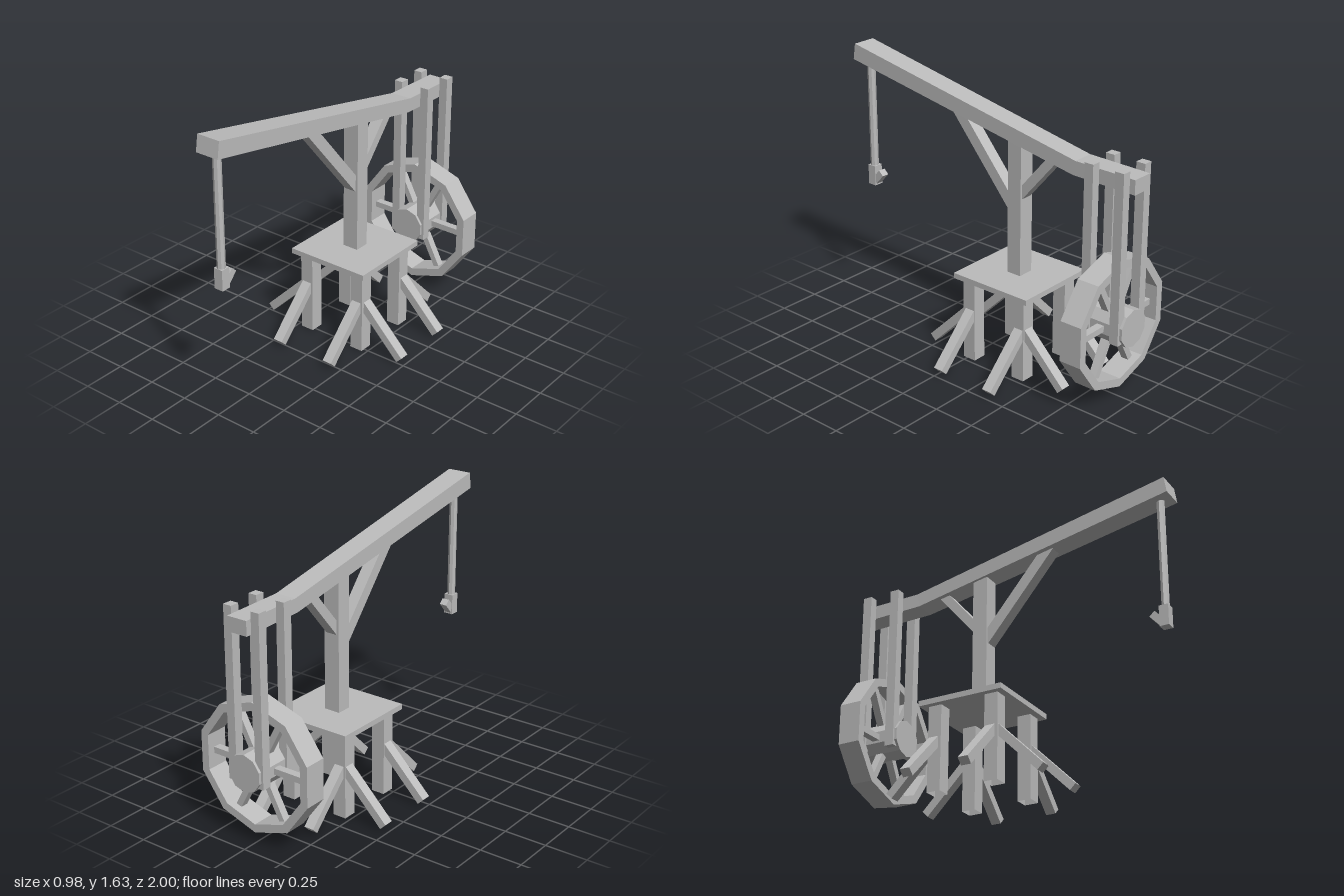
import * as THREE from 'three';

export function createModel() {
  const model = new THREE.Group();
  model.name = 'treadwheelCrane';
  // Double-sided because the legs are hollow and open below
  const grey = new THREE.MeshStandardMaterial({ color: 0xbcbcbc, side: THREE.DoubleSide });
  grey.name = 'plain grey';

  const add = (name, geometry, parent = model) => {
    const flat = geometry.index ? geometry.toNonIndexed() : geometry;
    flat.computeVertexNormals();
    const mesh = new THREE.Mesh(flat, grey);
    mesh.name = name;
    parent.add(mesh);
    return mesh;
  };

  // Axis-aligned box given by its limits
  const block = (name, x0, x1, y0, y1, z0, z1) =>
    add(name, new THREE.BoxGeometry(x1 - x0, y1 - y0, z1 - z0))
      .position.set((x0 + x1) / 2, (y0 + y1) / 2, (z0 + z1) / 2);

  // Square-cut beam running between two points
  const beam = (name, from, to, width, depth) => {
    const a = new THREE.Vector3(...from), b = new THREE.Vector3(...to);
    const mesh = add(name, new THREE.BoxGeometry(width, depth, a.distanceTo(b)));
    mesh.position.copy(a).add(b).multiplyScalar(0.5);
    mesh.lookAt(b);
  };

  // Platform, its four open-ended legs and two raking braces per leg
  block('platform', -0.257, 0.257, 0.498, 0.53, -0.458, 0.065);
  for (const side of [-1, 1]) {
    for (const [z, out] of [[-0.016, 1], [-0.372, -1]]) {
      const x = 0.181 * side;
      const leg = new THREE.CylinderGeometry(0.058, 0.058, 0.5, 4, 1, true);
      add('leg', leg.rotateY(Math.PI / 4)).position.set(x, 0.25, z);
      const zBrace = z - 0.006;
      beam('sideBrace', [x, 0.322, zBrace], [x + 0.293 * side, 0.029, zBrace], 0.06, 0.049);
      beam('endBrace', [x, 0.322, z], [x, 0.029, z + 0.293 * out], 0.06, 0.049);
    }
  }

  // Mast and its two struts
  block('mast', -0.049, 0.049, 0.52, 1.36, -0.242, -0.151);
  beam('frontStrut', [0, 1.42, 0.248], [0, 0.925, -0.172], 0.072, 0.068);
  beam('backStrut', [0, 1.29, -0.461], [0, 1.005, -0.219], 0.072, 0.054);

  // Boom: a box bent at its middle section and slightly wider at the front
  const boom = new THREE.BoxGeometry(2, 2, 2, 1, 1, 2);
  const sections = [ // half width, then z and y of the bottom and top edges
    { w: 0.063, bottom: [-1, 1.23], top: [-1, 1.314] },
    { w: 0.064, bottom: [-0.605, 1.238], top: [-0.62, 1.32] },
    { w: 0.072, bottom: [1, 1.536], top: [0.985, 1.631] },
  ];
  const p = boom.attributes.position;
  for (let i = 0; i < p.count; i++) {
    const s = sections[Math.round(p.getZ(i)) + 1];
    const [z, y] = p.getY(i) > 0 ? s.top : s.bottom;
    p.setXYZ(i, p.getX(i) * s.w, y, z);
  }
  add('boom', boom);

  // Rope, block and hook
  add('rope', new THREE.CylinderGeometry(0.024, 0.024, 0.69, 8)).position.set(0, 1.205, 0.93);
  block('hookBlock', -0.028, 0.028, 0.758, 0.88, 0.901, 0.956);
  beam('hookArm', [0, 0.77, 0.926], [0, 0.845, 0.858], 0.045, 0.042);

  // Four hangers carrying the wheel
  for (const x of [-0.091, 0.091]) {
    for (const z of [-0.747, -0.94]) {
      block('hanger', x - 0.026, x + 0.026, 0.375, 1.355, z - 0.028, z + 0.028);
    }
  }

  // Ten-sided wheel with hub and six spokes
  const wheel = new THREE.Group();
  wheel.name = 'wheel';
  wheel.position.set(0, 0.443, -0.844);
  model.add(wheel);
  const decagon = (r) => Array.from({ length: 10 }, (_, i) => {
    const a = i * Math.PI / 5;
    return new THREE.Vector2(-Math.sin(a) * r, Math.cos(a) * r);
  });
  const rim = new THREE.Shape(decagon(0.381));
  rim.holes.push(new THREE.Path(decagon(0.332).reverse()));
  const rimGeometry = new THREE.ExtrudeGeometry(rim, { depth: 0.134, bevelEnabled: false });
  add('rim', rimGeometry.translate(0, 0, -0.067), wheel);
  const hub = new THREE.CylinderGeometry(0.109, 0.109, 0.28, 10);
  add('hub', hub.rotateX(Math.PI / 2), wheel);
  for (const degrees of [0, 62, 118, 180, 242, 298]) {
    const a = THREE.MathUtils.degToRad(degrees);
    const spoke = add('spoke', new THREE.BoxGeometry(0.25, 0.036, 0.045), wheel);
    spoke.position.set(Math.cos(a) * 0.205, Math.sin(a) * 0.205 - 0.002, 0);
    spoke.rotation.z = a;
  }
  return model;
}
